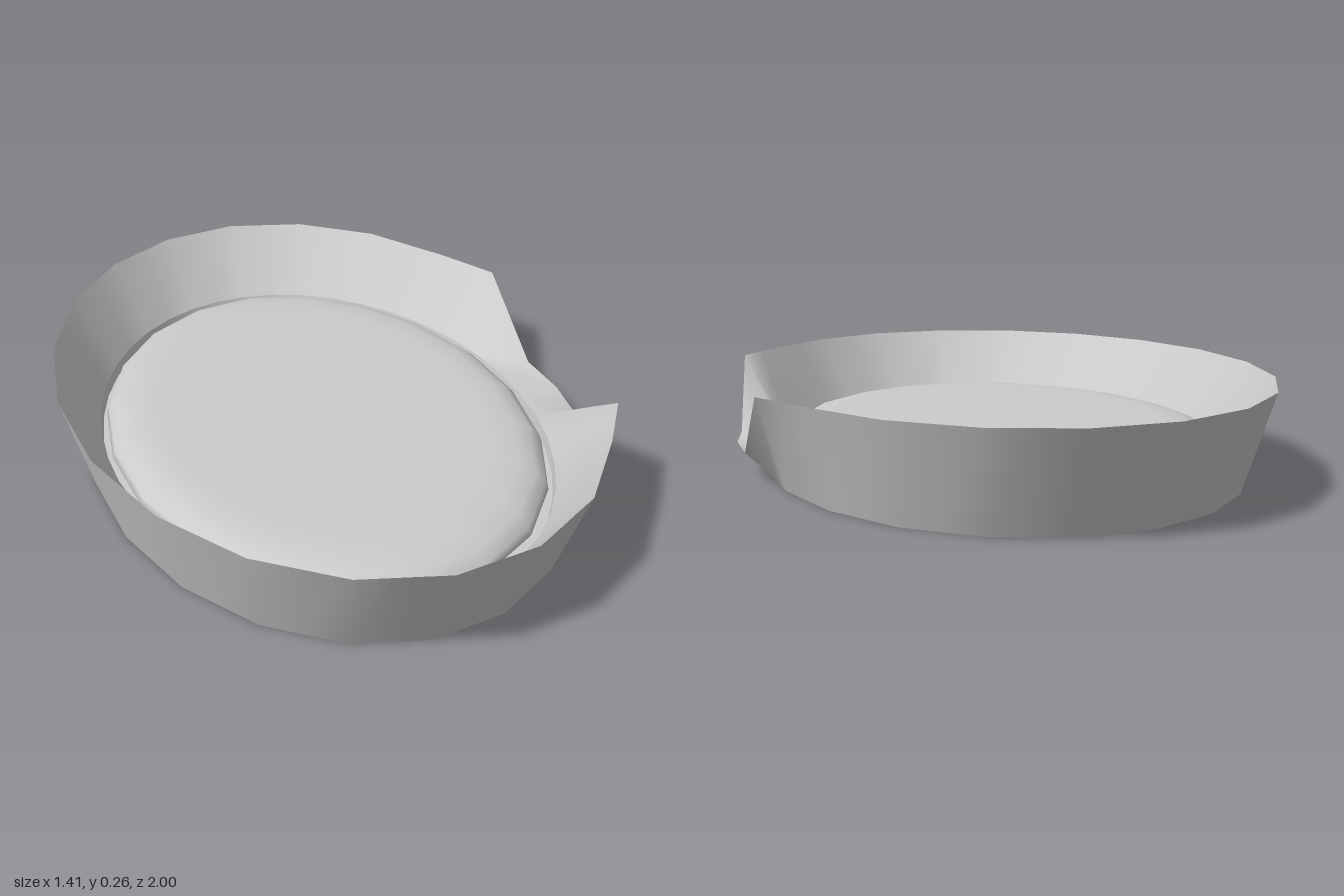
import * as THREE from 'three';

const SEG = 40;
const material = new THREE.MeshStandardMaterial({ color: 0xcccccc, side: THREE.DoubleSide });

// Oval ring of points
function oval(rx, y, rz) {
  return Array.from({ length: SEG }, (_, i) => {
    const a = (i / SEG) * Math.PI * 2;
    return new THREE.Vector3(rx * Math.cos(a), y, rz * Math.sin(a));
  });
}

// Keep every second point and straighten the edges between them
function facet(ring) {
  for (let i = 1; i < SEG; i += 2) ring[i].lerpVectors(ring[i - 1], ring[(i + 1) % SEG], 0.5);
  return ring;
}

// Smooth closed band between two rings
function band(name, from, to) {
  const index = [];
  for (let i = 0; i < SEG; i++) {
    const j = (i + 1) % SEG;
    index.push(i, i + SEG, j, j, i + SEG, j + SEG);
  }
  const geometry = new THREE.BufferGeometry().setFromPoints([...from, ...to]);
  geometry.setIndex(index);
  geometry.computeVertexNormals();
  const mesh = new THREE.Mesh(geometry, material);
  mesh.name = name;
  return mesh;
}

export function createModel() {
  const group = new THREE.Group();
  group.name = 'ovalBed';

  const bottom = facet(oval(0.625, 0, 0.885));
  const rim = facet(oval(0.705, 0.26, 1));
  const lip = oval(0.59, 0.08, 0.84);
  const floorEdge = oval(0.585, 0.05, 0.83);

  // Low entrance cut into the rim on the left side
  rim[0].set(0.705, 0.08, 0);
  for (const s of [1, -1]) {
    const at = (k) => rim[(k * s + SEG) % SEG];
    at(1).set(0.69, 0.08, 0.165 * s);
    at(2).set(0.67, 0.26, 0.42 * s);
    at(3).lerpVectors(at(2), at(4), 0.5);
  }

  group.add(
    band('base', oval(0, 0, 0), bottom),
    band('outerWall', bottom, rim),
    band('innerWall', rim, lip),
    band('innerStep', lip, floorEdge),
    band('innerFloor', floorEdge, oval(0, 0.05, 0))
  );

  // Softly rounded cushion
  const profile = [[0.79, 0.05], [0.81, 0.07], [0.8, 0.09], [0.765, 0.11], [0.71, 0.122], [0.62, 0.128], [0, 0.13]]
    .map(([r, y]) => new THREE.Vector2(r, y));
  const cushion = new THREE.Mesh(new THREE.LatheGeometry(profile, 20), material);
  cushion.scale.x = 0.575 / 0.81;
  cushion.name = 'cushion';
  group.add(cushion);

  return group;
}
